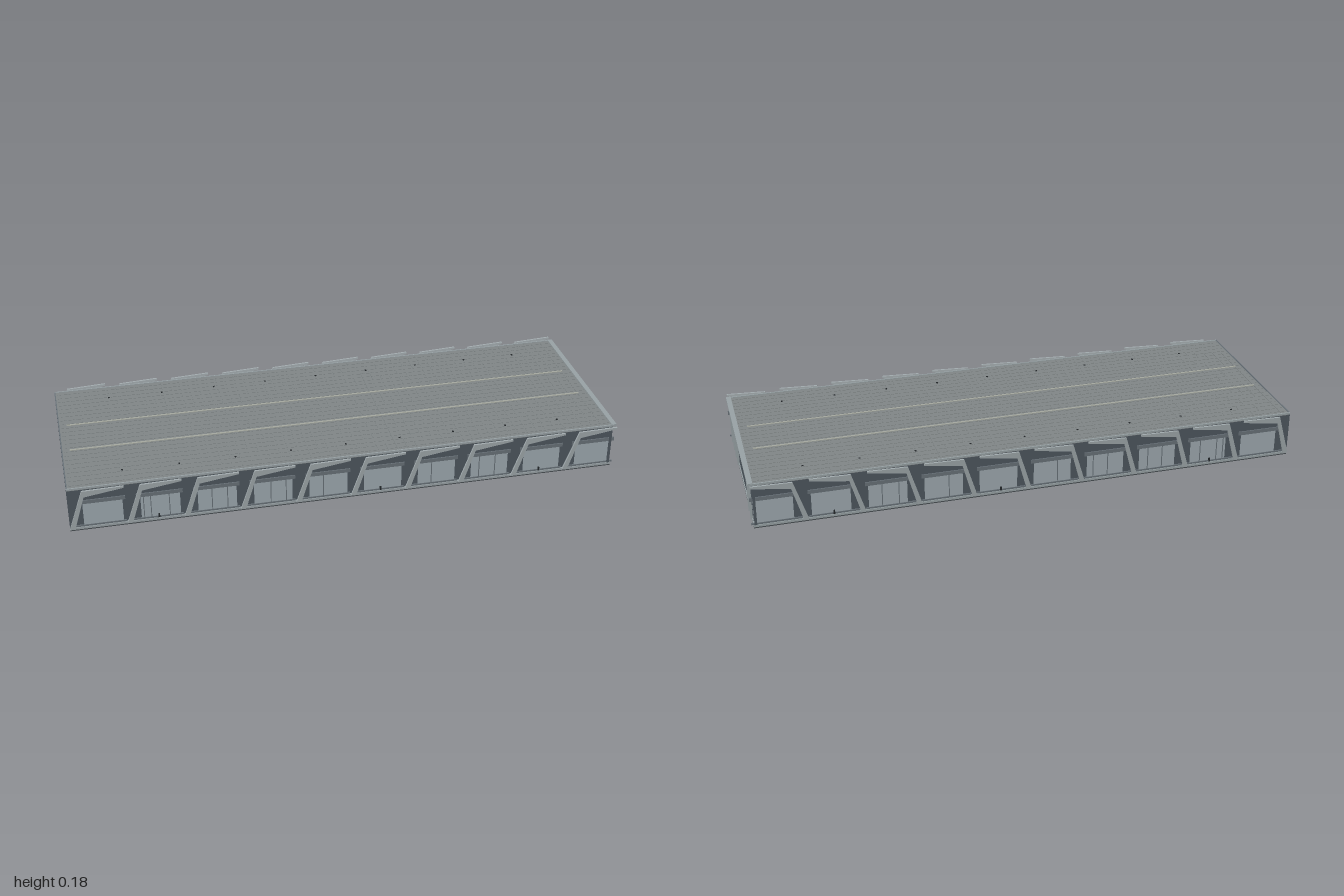
import * as THREE from 'three';

const mat = (color, side = THREE.FrontSide) =>
  new THREE.MeshStandardMaterial({ color, side, flatShading: true });

export function createModel() {
  const model = new THREE.Group();
  model.name = 'pavilion';
  const dark = mat(0x4d565e), concrete = mat(0x98a2a5), glass = mat(0x9ea9af);
  const roofGrey = mat(0x808687), trim = mat(0x687178), line = mat(0xa5a89f), black = mat(0x24282b);
  const fin = mat(0xa3acaf), underside = mat(0x4a5054);

  // Box given by its minimum and maximum corners
  function box(name, material, x0, x1, y0, y1, z0, z1, parent = model) {
    const mesh = new THREE.Mesh(new THREE.BoxGeometry(x1 - x0, y1 - y0, z1 - z0), material);
    mesh.position.set((x0 + x1) / 2, (y0 + y1) / 2, (z0 + z1) / 2);
    mesh.name = name;
    parent.add(mesh);
  }

  // Main body
  box('foundation', underside, -1, 0.99, 0, 0.004, -0.345, 0.345);
  box('floorSlab', concrete, -1, 0.99, 0.004, 0.012, -0.345, 0.345);
  box('hallWalls', dark, -0.998, 0.985, 0.012, 0.165, -0.338, 0.338);
  box('closedEndWall', dark, -1, -0.994, 0.012, 0.168, -0.345, 0.345);
  box('openEndWall', dark, 0.978, 0.987, 0.012, 0.168, -0.345, 0.345);
  box('roofSlab', roofGrey, -1, 0.985, 0.165, 0.171, -0.345, 0.345);

  // Roof edges and raised end rim
  box('endRim', concrete, 0.982, 1, 0.167, 0.176, -0.345, 0.345);
  box('closedEndRim', trim, -1, -0.996, 0.167, 0.174, -0.345, 0.345);
  for (const s of [-1, 1]) {
    box('roofEdge', concrete, -1, 1, 0.167, 0.174, s * 0.3435 - 0.0025, s * 0.3435 + 0.0025);
    box('roofGutter', line, -0.97, 0.95, 0.171, 0.1735, s * 0.088 - 0.004, s * 0.088 + 0.004);
  }

  // Roof sheet seams in both directions
  for (let i = 0; i < 56; i++) {
    const x = -0.98 + i * 0.035;
    box('roofSeam', roofGrey, x, x + 0.012, 0.171, 0.1718, -0.34, 0.34);
  }
  for (let i = 0; i < 24; i++) {
    const z = -0.322 + i * 0.028;
    box('roofRib', roofGrey, -0.99, 0.98, 0.171, 0.1725, z - 0.002, z + 0.002);
  }
  for (const z of [-0.26, 0.26])
    for (let i = 0; i < 9; i++) {
      const x = -0.8 + i * 0.2;
      box('roofDrain', black, x - 0.003, x + 0.003, 0.171, 0.174, z - 0.003, z + 0.003);
    }

  // Vertical battens on the end wall
  for (const z of [0.3, 0.237, 0.176, 0.115, -0.23, -0.29])
    box('endBatten', concrete, 0.985, 0.995, 0.006, 0.165, z - 0.004, z + 0.004);

  // Folded facade frame: slanted post and tapering top band, leaning outward
  const outline = new THREE.Shape([
    [0, 0.012], [0.018, 0.012], [0.056, 0.146], [0.194, 0.169], [0.194, 0.176], [0.05, 0.171],
  ].map(([x, y]) => new THREE.Vector2(x, y)));

  function frameGeometry(side) {
    const g = new THREE.ExtrudeGeometry(outline, { depth: 0.007, bevelEnabled: false });
    const p = g.attributes.position;
    for (let i = 0; i < p.count; i++) {
      const x = p.getX(i), y = p.getY(i);
      const lean = 0.346 + 0.013 * (y / 0.17) + 0.022 * x;
      // Back frames are extruded inside out along z, then shifted, so winding stays correct
      const z = p.getZ(i);
      p.setZ(i, side > 0 ? lean + z : -lean - 0.007 + z);
    }
    g.computeVertexNormals();
    return g;
  }

  // Bays along both long sides
  const mullions = [[], [0.06, 0.085, 0.15], [0.1, 0.155], [0.11, 0.165], [0.1], [], [0.1], [0.08, 0.14], [], []];
  for (const s of [-1, 1]) {
    const geometry = frameGeometry(s);
    const span = (a, b) => (s > 0 ? [a, b] : [-b, -a]);
    for (let i = 0; i < 10; i++) {
      const bay = new THREE.Group();
      bay.name = s > 0 ? 'frontBay' : 'backBay';
      bay.position.x = -1 + i * 0.2;
      model.add(bay);

      const frame = new THREE.Mesh(geometry, fin);
      frame.name = 'facadeFrame';
      bay.add(frame);

      box('window', glass, 0.05, 0.188, 0.018, 0.104, ...span(0.337, 0.34), bay);
      box('transom', trim, 0.035, 0.198, 0.104, 0.118, ...span(0.337, 0.342), bay);
      box('windowSill', trim, 0.02, 0.198, 0.012, 0.018, ...span(0.337, 0.342), bay);
      for (const x of mullions[i])
        box('mullion', trim, x - 0.0015, x + 0.0015, 0.018, 0.104, ...span(0.338, 0.342), bay);
      if (i === 1 || i === 5 || i === 8)
        box('doorPost', black, 0.108, 0.114, 0.012, 0.027, ...span(0.338, 0.343), bay);
    }
  }
  return model;
}
